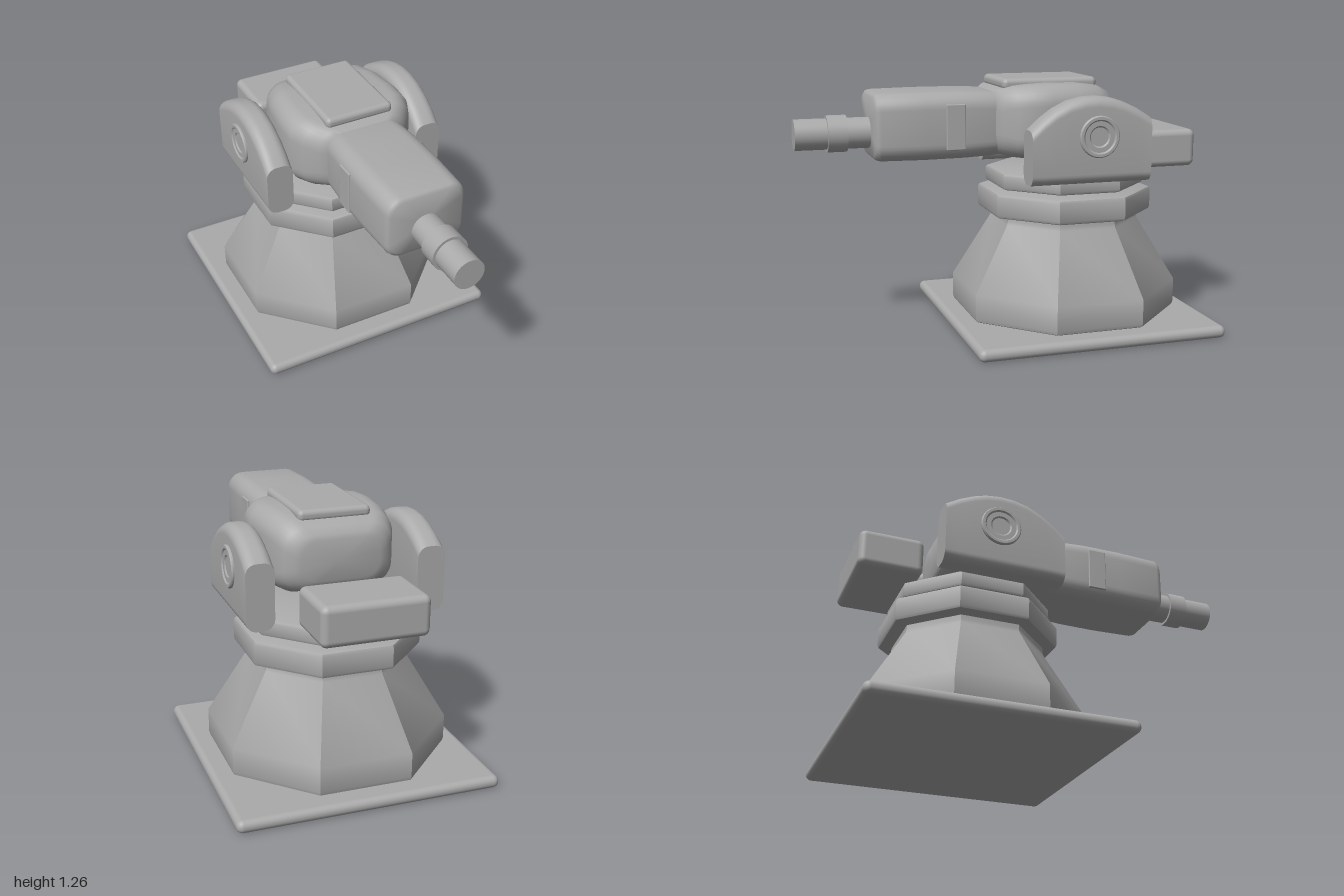
import * as THREE from 'three';
import { toCreasedNormals } from 'three/addons/utils/BufferGeometryUtils.js';
import { RoundedBoxGeometry } from 'three/addons/geometries/RoundedBoxGeometry.js';

const grey = new THREE.MeshStandardMaterial({ color: 0xaaaaaa });
grey.name = 'grey metal';
const BASE_Z = -0.37;

function add(parent, name, geometry, x = 0, y = 0, z = 0) {
  const mesh = new THREE.Mesh(geometry, grey);
  mesh.name = name;
  mesh.position.set(x, y, z);
  parent.add(mesh);
  return mesh;
}

function box(w, h, d, r) {
  return new RoundedBoxGeometry(w, h, d, 4, r);
}

// Eight-sided turned solid; profile holds [distance to flat side, y] from bottom to top
function octagon(profile) {
  const k = 1 / Math.cos(Math.PI / 8);
  const pts = profile.map(([r, y]) => new THREE.Vector2(r * k, y));
  return toCreasedNormals(new THREE.LatheGeometry(pts, 8, Math.PI / 8), 0.6);
}

// Bevelled octagonal ring between two heights
function octagonSlab(r, y0, y1, b) {
  const c = b * 0.3;
  return octagon([[0, y0], [r - b, y0], [r - c, y0 + c], [r, y0 + b],
    [r, y1 - b], [r - c, y1 - c], [r - b, y1], [0, y1]]);
}

// Skin over rounded-rectangle sections [z, half width, bottom, top, corner radius], back to front
function loft(sections, crease = 0.8) {
  const steps = 7, n = 4 * (steps + 1), pos = [], index = [];
  for (const [z, hx, y0, y1, r] of sections) {
    for (let q = 0; q < 4; q++) {
      const cx = (q === 0 || q === 3 ? 1 : -1) * (hx - r);
      const cy = q < 2 ? y1 - r : y0 + r;
      for (let s = 0; s <= steps; s++) {
        const a = (q + s / steps) * Math.PI / 2;
        pos.push(cx + r * Math.cos(a), cy + r * Math.sin(a), z);
      }
    }
  }
  const last = sections.length - 1;
  for (let i = 0; i < last; i++) {
    for (let j = 0; j < n; j++) {
      const a = i * n + j, b = i * n + (j + 1) % n;
      index.push(a, b, b + n, a, b + n, a + n);
    }
  }
  // End caps
  for (const i of [0, last]) {
    const [z, , y0, y1] = sections[i], centre = pos.length / 3;
    pos.push(0, (y0 + y1) / 2, z);
    for (let j = 0; j < n; j++) {
      const a = i * n + j, b = i * n + (j + 1) % n;
      if (i) index.push(centre, a, b);
      else index.push(centre, b, a);
    }
  }
  const g = new THREE.BufferGeometry();
  g.setAttribute('position', new THREE.Float32BufferAttribute(pos, 3));
  g.setIndex(index);
  return toCreasedNormals(g, crease);
}

function rod(r, z0, z1) {
  return new THREE.CylinderGeometry(r, r, z1 - z0, 40).rotateX(Math.PI / 2).translate(0, 0, (z0 + z1) / 2);
}

export function createModel() {
  const model = new THREE.Group();
  model.name = 'turret';

  // Foot and octagonal pedestal
  add(model, 'basePlate', box(1.26, 0.062, 1.26, 0.03), 0, 0.031, BASE_Z);
  add(model, 'pedestal', octagon([[0, 0.06], [0.515, 0.06], [0.53, 0.068], [0.535, 0.085],
    [0.535, 0.205], [0.35, 0.53], [0.345, 0.55], [0.345, 0.6], [0, 0.6]]), 0, 0, BASE_Z);
  add(model, 'collar', octagonSlab(0.41, 0.572, 0.695, 0.018), 0, 0, BASE_Z);
  add(model, 'turntable', octagonSlab(0.373, 0.71, 0.792, 0.015), 0, 0, BASE_Z);

  // Main housing with its roof panel
  add(model, 'housing', loft([
    [-0.56, 0.19, 0.95, 1.14, 0.08],
    [-0.55, 0.22, 0.925, 1.165, 0.09],
    [-0.52, 0.26, 0.9, 1.195, 0.1],
    [-0.46, 0.287, 0.882, 1.222, 0.1],
    [-0.35, 0.31, 0.875, 1.236, 0.1],
    [-0.2, 0.325, 0.875, 1.238, 0.1],
    [-0.1, 0.32, 0.875, 1.234, 0.1],
    [-0.03, 0.288, 0.882, 1.226, 0.1],
    [0.03, 0.235, 0.895, 1.21, 0.1],
    [0.06, 0.19, 0.91, 1.19, 0.09],
  ], 0.9));
  add(model, 'roofPanel', box(0.35, 0.056, 0.485, 0.024), 0, 1.232, -0.232);

  // Gun mantlet and barrel
  add(model, 'mantlet', loft([
    [0, 0.19, 0.89, 1.19, 0.08],
    [0.06, 0.2, 0.885, 1.2, 0.08],
    [0.2, 0.207, 0.88, 1.205, 0.08],
    [0.4, 0.207, 0.878, 1.206, 0.08],
    [0.61, 0.2, 0.88, 1.203, 0.08],
    [0.629, 0.194, 0.886, 1.197, 0.075],
    [0.64, 0.178, 0.902, 1.181, 0.065],
  ]));
  add(model, 'barrel', rod(0.075, 0.6, 1), 0, 1.005, 0);
  add(model, 'barrelBand', rod(0.089, 0.75, 0.845), 0, 1.005, 0);

  // Rear counterweight
  add(model, 'counterweight', box(0.5, 0.188, 0.315, 0.032), 0, 0.894, -0.832);

  // Side shields: [z, top] along the arched upper edge
  const arch = [[-0.64, 1.09], [-0.57, 1.133], [-0.5, 1.165], [-0.44, 1.184], [-0.37, 1.193],
    [-0.3, 1.189], [-0.23, 1.172], [-0.16, 1.138], [-0.1, 1.095], [-0.04, 1.04]];
  const shield = loft(arch.map(([z, top]) => [z, 0.067, 0.778, top, 0.05]), 0.6);
  const bossProfile = [[0, 0], [0.045, 0], [0.052, 0.006], [0.075, 0.006], [0.082, 0.012],
    [0.095, 0.012], [0.1, 0.006], [0.1, -0.03]].reverse().map(([r, y]) => new THREE.Vector2(r, y));
  for (const side of [1, -1]) {
    const name = side > 0 ? 'left' : 'right';
    add(model, name + 'Shield', shield, side * 0.407, 0, 0);
    const boss = toCreasedNormals(new THREE.LatheGeometry(bossProfile, 40), 0.5);
    boss.rotateZ(-side * Math.PI / 2);
    add(model, name + 'Pivot', boss, side * 0.475, 1.005, -0.37);
    add(model, name + 'MantletPlate', box(0.014, 0.22, 0.095, 0.005), side * 0.207, 1.04, 0.255);
  }
  return model;
}
